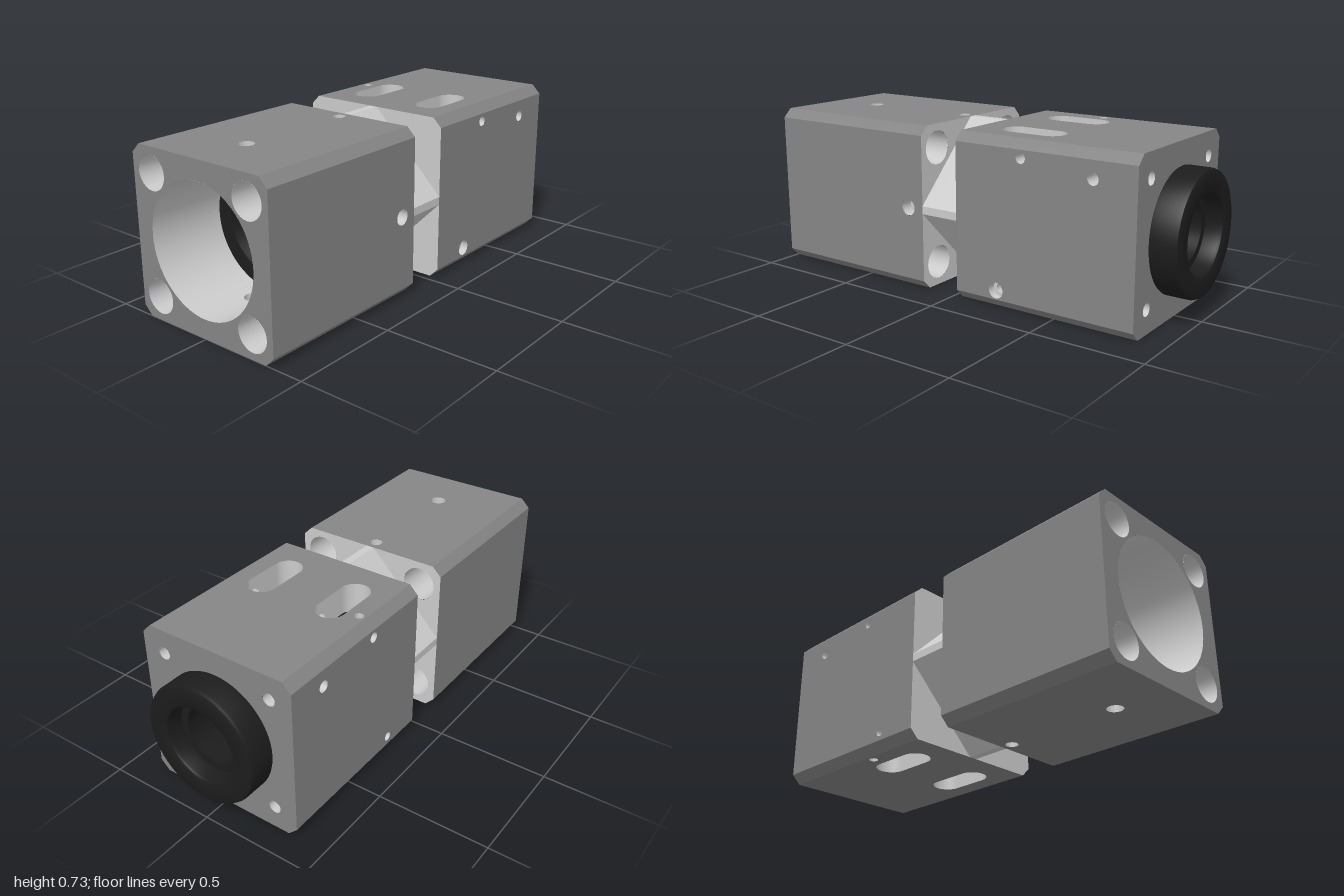
import * as THREE from 'three';
import { toCreasedNormals } from 'three/addons/utils/BufferGeometryUtils.js';
import { ParametricGeometry } from 'three/addons/geometries/ParametricGeometry.js';

const H = 0.365, C = 0.04;              // half side and chamfer of the square body
const CORNER = 0.26;                    // offset of the corner holes from the axis
const BORE_L = 0.28, BORE_R = 0.262, BORE_MID = 0.2;
const { PI } = Math;

const mat = (color) => new THREE.MeshStandardMaterial({ color, side: THREE.DoubleSide });

export function createModel() {
  const model = new THREE.Group();
  const body = new THREE.Group();
  body.position.y = H;                  // everything below is laid out around the long axis
  model.add(body);
  const shell = mat(0x858585), bare = mat(0xcccccc), black = mat(0x1c1c1c);

  const add = (name, geo, material) => {
    const m = new THREE.Mesh(geo, material);
    m.name = name;
    body.add(m);
    return m;
  };

  // Closed outline of a round hole (l = 0) or a slot with straight half-length l
  const holePath = ({ x, s, r, l = 0 }) => {
    const p = new THREE.Path();
    p.absarc(x + l, s, r, -PI / 2, PI / 2, false);
    p.absarc(x - l, s, r, PI / 2, 1.5 * PI, false);
    p.closePath();
    return p;
  };

  // Square with cut corners: half side h, cut c
  const octagon = (h, c, holes = []) => {
    const k = h - c;
    const s = new THREE.Shape([[h, -k], [h, k], [k, h], [-k, h], [-h, k], [-h, -k], [-k, -h], [k, -h]]
      .map(([a, b]) => new THREE.Vector2(a, b)));
    s.holes = holes.map(holePath);
    return s;
  };
  const corners = (r) => [[1, 1], [1, -1], [-1, 1], [-1, -1]]
    .map(([a, b]) => ({ x: a * CORNER, s: b * CORNER, r }));

  const endFace = (name, x, holes, material) =>
    add(name, new THREE.ShapeGeometry(octagon(H, C, holes), 24)
      .rotateY(x < -0.5 || x === 0.035 ? -PI / 2 : PI / 2).translate(x, 0, 0), material);

  // Open tube and flat disc along axis 'x', 'y' or 'z'; p and q are the other two coordinates in order
  const orient = (geo, axis, p, q, t) => {
    if (axis === 'x') return geo.rotateZ(-PI / 2).translate(t, p, q);
    if (axis === 'y') return geo.translate(p, t, q);
    return geo.rotateX(PI / 2).translate(p, q, t);
  };
  const tube = (name, axis, r, p, q, a, b, material = bare) =>
    add(name, orient(new THREE.CylinderGeometry(r, r, b - a, r > 0.1 ? 64 : 24, 1, true), axis, p, q, (a + b) / 2), material);
  const disc = (name, axis, r, p, q, t, material = bare, inner = 0) =>
    add(name, orient(new THREE.RingGeometry(inner, r, 24).rotateX(-PI / 2), axis, p, q, t), material);

  // Outer skin: front, top, back, bottom faces with holes, and the four chamfers
  const skin = (name, a, b, faces) => {
    const k = H - C;
    [0, -PI / 2, PI, PI / 2].forEach((turn, i) => {
      const s = new THREE.Shape([[a, -k], [b, -k], [b, k], [a, k]].map(([u, v]) => new THREE.Vector2(u, v)));
      s.holes = faces[i].map(holePath);
      add(name + 'Side', new THREE.ShapeGeometry(s, 24).translate(0, 0, H).rotateX(turn), shell);
      add(name + 'Chamfer', new THREE.PlaneGeometry(b - a, C * Math.SQRT2)
        .translate((a + b) / 2, 0, (2 * H - C) / Math.SQRT2).rotateX(turn + PI / 4), shell);
    });
  };

  // Bore wall from x0 to x1, pierced above and below by slots centred on (xc, each z)
  const piercedBore = (name, R, x0, x1, xc, l, rad, zs) => {
    tube(name, 'x', R, 0, 0, x0, xc - l - rad);
    tube(name, 'x', R, 0, 0, xc + l + rad, x1);
    const width = (x) => {
      const d = Math.max(0, Math.abs(x - xc) - l);
      return Math.sqrt(Math.max(0, rad * rad - d * d));
    };
    for (const up of [1, -1]) {
      for (let i = 0; i <= zs.length; i++) {
        add(name, new ParametricGeometry((u, v, t) => {
          const x = xc - (l + rad) * Math.cos(v * PI), w = width(x);
          const lo = i === 0 ? -PI / 2 : Math.asin((zs[i - 1] + w) / R);
          const hi = i === zs.length ? PI / 2 : Math.asin((zs[i] - w) / R);
          const th = lo + (hi - lo) * u;
          t.set(x, up * R * Math.cos(th), R * Math.sin(th));
        }, 20, 24), bare);
      }
    }
  };

  // Rounded ends of a vertical slot running from the bore to the outside
  const slotEnds = (name, R, xc, l, rad, zc, up) => {
    for (const e of [1, -1]) {
      add(name, new ParametricGeometry((u, v, t) => {
        const a = (u - 0.5) * PI, z = zc + rad * Math.sin(a);
        const y0 = Math.sqrt(R * R - z * z);
        t.set(xc + e * (l + rad * Math.cos(a)), up * (y0 + (H - y0) * v), z);
      }, 16, 2), bare);
    }
  };

  // ---- Hole layout ----
  const slot = { x: 0.3, l: 0.085, r: 0.065, z: 0.175 };
  const upper = { x: 0.36, s: 0.29, r: 0.022 };
  const lower = { x: 0.24, s: -0.285, r: 0.02 };
  const screw = { x: 0.69, s: 0.25, r: 0.025 };
  const pin = { x: 0.36, z: -0.295, r: 0.02 };
  const flip = (h) => ({ ...h, s: -h.s });
  const slots = [1, -1].map((e) => ({ x: slot.x, s: e * slot.z, r: slot.r, l: slot.l }));
  const cross = { x: -0.745, s: 0, r: 0.035 }, blind = { x: -0.2, s: 0, r: 0.028 };

  // ---- Rear block ----
  skin('rearBlock', -1, -0.15, [[{ x: -0.23, s: 0, r: 0.035 }], [cross, blind], [], [cross, blind]]);
  endFace('rearEnd', -1, [{ x: 0, s: 0, r: BORE_L }, ...corners(0.075)], shell);
  endFace('rearInnerFace', -0.15, [{ x: 0, s: 0, r: BORE_MID }, ...corners(0.075)], bare);
  for (const h of corners(0.075)) tube('rearCornerHole', 'x', h.r, h.s, h.x, -1, -0.15);
  piercedBore('rearBore', BORE_L, -1, -0.65, cross.x, 0, cross.r, [0]);
  for (const up of [1, -1]) {
    slotEnds('crossHole', BORE_L, cross.x, 0, cross.r, 0, up);
    tube('blindHole', 'y', blind.r, blind.x, 0, up > 0 ? 0.31 : -H, up > 0 ? H : -0.31);
    disc('blindHoleFloor', 'y', blind.r, blind.x, 0, up * 0.31);
  }
  tube('frontCounterbore', 'z', 0.035, -0.23, 0, 0.31, H);
  disc('frontCounterboreFloor', 'z', 0.035, -0.23, 0, 0.31, bare, 0.015);
  disc('frontScrewHole', 'z', 0.015, -0.23, 0, 0.309, black);

  // ---- Waist: square turned on its corner, with clipped tips ----
  const tip = 0.0175;
  const waist = octagon(H, H - tip, [{ x: 0, s: 0, r: BORE_MID }]);
  add('waist', new THREE.ExtrudeGeometry(waist, { depth: 0.185, bevelEnabled: false, curveSegments: 32 })
    .rotateY(PI / 2).translate(-0.15, 0, 0), bare);

  // ---- Forward block ----
  skin('forwardBlock', 0.035, 0.88, [
    [upper, { ...lower, r: 0.035 }, screw],
    [...slots, { x: pin.x, s: -pin.z, r: pin.r }],
    [upper, lower, screw].map(flip),
    [...slots, { x: pin.x, s: pin.z, r: pin.r }],
  ]);
  endFace('forwardInnerFace', 0.035, [{ x: 0, s: 0, r: BORE_MID }], bare);
  endFace('forwardEnd', 0.88, [{ x: 0, s: 0, r: BORE_R }, ...corners(0.028)], shell);
  for (const h of corners(0.028)) {
    tube('forwardCornerHole', 'x', h.r, h.s, h.x, 0.73, 0.88);
    disc('forwardCornerHoleFloor', 'x', h.r, h.s, h.x, 0.75);
  }
  piercedBore('forwardBore', BORE_R, 0.035, 0.55, slot.x, slot.l, slot.r, [-slot.z, slot.z]);

  // Slot walls, the straight sides being pierced by the cross holes
  for (const up of [1, -1]) {
    const h = up > 0 ? upper : lower;
    for (const e of [1, -1]) {
      slotEnds('slotEnd', BORE_R, slot.x, slot.l, slot.r, e * slot.z, up);
      for (const d of [-slot.r, slot.r]) {
        const z = e * (slot.z + d), y0 = up * Math.sqrt(BORE_R ** 2 - z * z);
        const a = slot.x - slot.l, b = slot.x + slot.l;
        const s = new THREE.Shape([[a, y0], [b, y0], [b, up * H], [a, up * H]].map(([u, v]) => new THREE.Vector2(u, v)));
        s.holes = [holePath(h)];
        add('slotSide', new THREE.ShapeGeometry(s).translate(0, 0, z), bare);
      }
    }
  }

  // Small holes running front to back and top to bottom
  for (const [a, b] of [[-H, -0.317], [-0.273, -0.24], [-0.11, 0.11], [0.24, H]])
    tube('upperCrossHole', 'z', upper.r, upper.x, upper.s, a, b);
  for (const [a, b] of [[-H, -0.24], [-0.11, 0.11], [0.24, 0.33]])
    tube('lowerCrossHole', 'z', lower.r, lower.x, lower.s, a, b);
  tube('lowerCounterbore', 'z', 0.035, lower.x, lower.s, 0.33, H);
  disc('lowerCounterboreFloor', 'z', 0.035, lower.x, lower.s, 0.33, bare, lower.r);
  for (const [a, b] of [[-H, 0.268], [0.312, H]]) tube('pinHole', 'y', pin.r, pin.x, pin.z, a, b);
  for (const e of [1, -1]) {
    tube('setScrewHole', 'z', screw.r, screw.x, screw.s, e > 0 ? 0.12 : -H, e > 0 ? H : -0.12);
    disc('setScrew', 'z', screw.r, screw.x, screw.s, e * 0.2, black);
  }

  // ---- Black turned barrels, profiles given as [radius, x] ----
  const turned = (name, pts) => add(name, toCreasedNormals(
    new THREE.LatheGeometry(pts.map(([r, x]) => new THREE.Vector2(r, x)), 72).rotateZ(-PI / 2), 0.6), black);
  turned('eyepiece', [[0.132, 0.55], [0.261, 0.55], [0.261, 0.885], [0.265, 0.885], [0.265, 0.982], [0.26, 0.995],
    [0.248, 1], [0.18, 1], [0.17, 0.995], [0.165, 0.985], [0.165, 0.92], [0.132, 0.92], [0.132, 0.55]]);
  turned('innerBarrel', [[0.28, -0.152], [0.28, -0.65], [0.21, -0.65], [0.2, -0.62], [0.15, -0.5], [0.15, -0.152], [0.28, -0.152]]);

  return model;
}
